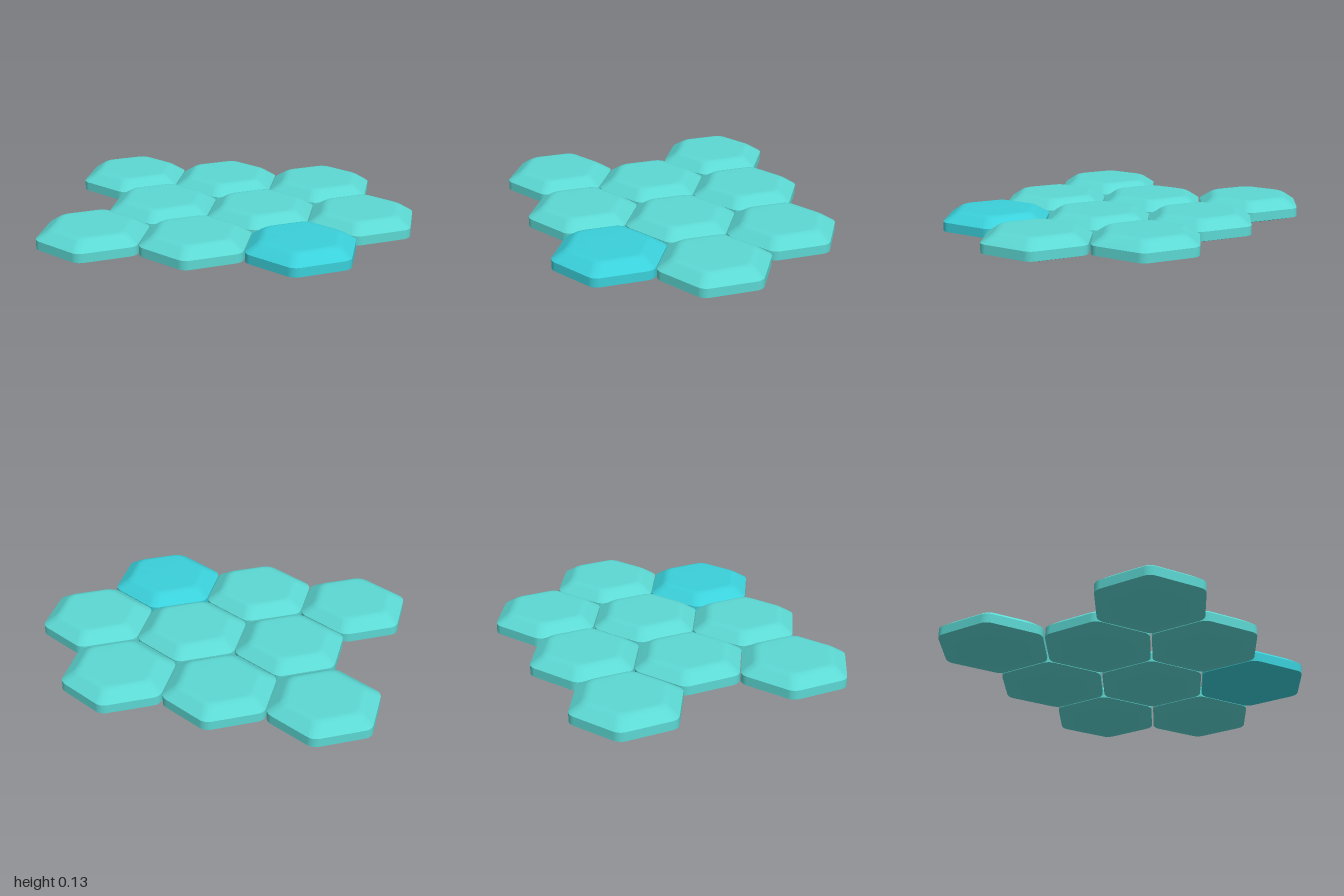
import * as THREE from 'three';
import { mergeGeometries } from 'three/addons/utils/BufferGeometryUtils.js';

const CORNER_STEPS = 6;

// Outline of a hexagon with rounded corners: flats face +-x, corners point along +-z.
function roundedHex(apothem, y) {
  const r = Math.min(0.066, apothem);
  const reach = (apothem - r) / Math.cos(Math.PI / 6);
  const points = [];
  for (let k = 0; k < 6; k++) {
    const corner = Math.PI / 6 + (k * Math.PI) / 3;
    for (let s = 0; s <= CORNER_STEPS; s++) {
      const t = (k + s / CORNER_STEPS) * Math.PI / 3;
      points.push([
        reach * Math.cos(corner) + r * Math.cos(t),
        y,
        -reach * Math.sin(corner) - r * Math.sin(t),
      ]);
    }
  }
  return points;
}

// Smooth skin over [apothem, height] rings listed from the bottom up.
function skin(rings) {
  const outlines = rings.map(([a, y]) => roundedHex(a, y));
  const n = outlines[0].length;
  const index = [];
  for (let j = 0; j < rings.length - 1; j++) {
    for (let i = 0; i < n; i++) {
      const next = (i + 1) % n;
      const a = j * n + i, b = j * n + next;
      const c = b + n, d = a + n;
      if (rings[j][0] > 0) index.push(a, b, c);
      if (rings[j + 1][0] === 0) index.splice(-3, 3, a, b, d);
      else index.push(a, c, d);
    }
  }
  const geometry = new THREE.BufferGeometry();
  geometry.setAttribute('position', new THREE.Float32BufferAttribute(outlines.flat(2), 3));
  geometry.setIndex(index);
  geometry.computeVertexNormals();
  return geometry;
}

export function createModel() {
  const group = new THREE.Group();
  group.name = 'hexTiles';

  // Separate skins keep hard edges between underside, chamfer, wall and crown
  const tileGeometry = mergeGeometries([
    skin([[0, 0], [0.203, 0]]),
    skin([[0.203, 0], [0.283, 0.023]]),
    skin([[0.283, 0.023], [0.283, 0.075]]),
    skin([[0.283, 0.075], [0.226, 0.116], [0.212, 0.124], [0.196, 0.129], [0.18, 0.13], [0, 0.13]]),
  ]);

  const teal = new THREE.MeshStandardMaterial({ color: 0x5cd8d3 });
  const cyan = new THREE.MeshStandardMaterial({ color: 0x3ad0da });

  // Three staggered rows of three tiles, back to front
  const rows = [
    { name: 'back', x: -0.717, z: -0.5 },
    { name: 'middle', x: -0.427, z: -0.002 },
    { name: 'front', x: -0.708, z: 0.495 },
  ];
  for (const row of rows) {
    for (let i = 0; i < 3; i++) {
      const accent = row.name === 'front' && i === 2;
      const tile = new THREE.Mesh(tileGeometry, accent ? cyan : teal);
      tile.name = accent ? 'accentTile' : `${row.name}Tile${i + 1}`;
      tile.position.set(row.x + i * 0.572, 0, row.z);
      group.add(tile);
    }
  }
  return group;
}
